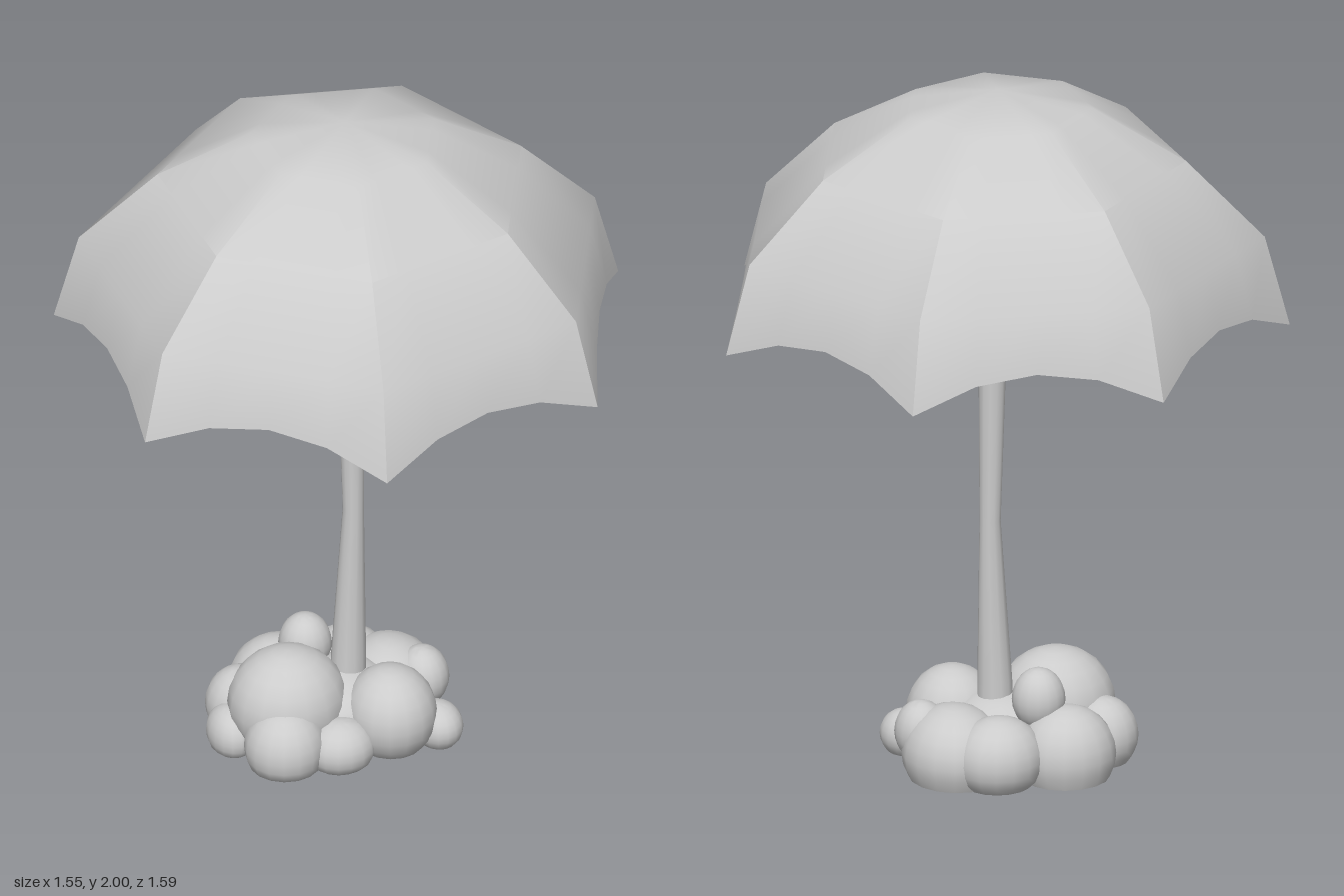
import * as THREE from 'three';
import { toCreasedNormals } from 'three/addons/utils/BufferGeometryUtils.js';

const AXIS_X = -0.04; // the pole axis sits slightly off centre
const RIBS = 7;

// Surface from rows of points, rows running upwards and columns to the right
function gridSurface(rows) {
  const cols = rows[0].length;
  const index = [];
  for (let i = 0; i < rows.length - 1; i++) {
    for (let j = 0; j < cols - 1; j++) {
      const a = i * cols + j, b = a + 1, c = a + cols, d = c + 1;
      index.push(a, b, d, a, d, c);
    }
  }
  const geometry = new THREE.BufferGeometry().setFromPoints(rows.flat());
  geometry.setIndex(index);
  return geometry;
}

// Canopy: flat-chorded panels between ribs, with a scalloped lower edge
function canopyGeometry() {
  const profile = [[0.815, 1.32], [0.745, 1.58], [0.525, 1.8], [0.265, 1.95], [0.0005, 2]];
  const steps = 4;
  const rows = profile.map(([r, y], row) => {
    const points = [];
    for (let k = 0; k <= RIBS * steps; k++) {
      const rib = Math.floor(k / steps), t = (k % steps) / steps;
      const a0 = -(rib * Math.PI * 2) / RIBS, a1 = a0 - (Math.PI * 2) / RIBS;
      const lift = row === 0 ? 0.38 * t * (1 - t) : 0;
      const radius = r - lift * 0.27;
      points.push(new THREE.Vector3(
        radius * THREE.MathUtils.lerp(Math.cos(a0), Math.cos(a1), t),
        y + lift,
        radius * THREE.MathUtils.lerp(Math.sin(a0), Math.sin(a1), t)
      ));
    }
    return points;
  });
  return toCreasedNormals(gridSurface(rows), 0.57);
}

// Pole: rings of varying radius along a slightly bent axis
function poleGeometry() {
  const rings = [[0, -0.035, 0.055], [0.25, -0.03, 0.049], [0.72, -0.016, 0.03],
    [1.4, -0.026, 0.043], [1.97, -0.036, 0.048]];
  const sides = 12;
  const rows = rings.map(([y, x, r]) => Array.from({ length: sides + 1 }, (_, j) => {
    const a = -(j * Math.PI * 2) / sides;
    return new THREE.Vector3(x + r * Math.cos(a), y, r * Math.sin(a));
  }));
  return toCreasedNormals(gridSurface(rows), 0.7);
}

// Boulder: squashed sphere flattened where it meets the ground
function boulderGeometry(x, y, z, rx, ry, rz) {
  const geometry = new THREE.SphereGeometry(1, 16, 12);
  geometry.scale(rx, ry, rz).translate(x, y, z);
  const p = geometry.attributes.position;
  for (let i = 0; i < p.count; i++) p.setY(i, Math.max(0, p.getY(i)));
  return toCreasedNormals(geometry, 0.75);
}

export function createModel() {
  const model = new THREE.Group();
  model.name = 'parasol';
  const material = new THREE.MeshStandardMaterial({ color: 0xcccccc });
  const thin = new THREE.MeshStandardMaterial({ color: 0xcccccc, side: THREE.DoubleSide });

  const add = (parent, name, geometry, mat) => {
    const mesh = new THREE.Mesh(geometry, mat);
    mesh.name = name;
    parent.add(mesh);
    return mesh;
  };

  add(model, 'canopy', canopyGeometry(), thin).position.x = AXIS_X;
  add(model, 'pole', poleGeometry(), thin);

  // Base: cluster of rounded boulders, each as centre x, y, z and radii x, y, z
  const base = new THREE.Group();
  base.name = 'base';
  const boulders = [
    [-0.22, 0.14, 0.02, 0.17, 0.165, 0.16],
    [0.045, 0.11, 0.13, 0.13, 0.14, 0.135],
    [0.12, 0.07, -0.07, 0.145, 0.14, 0.16],
    [-0.17, 0.07, -0.19, 0.14, 0.14, 0.13],
    [-0.11, 0.22, -0.13, 0.075, 0.09, 0.075],
    [0.03, 0.08, -0.18, 0.13, 0.12, 0.12],
    [-0.27, 0.07, 0.13, 0.115, 0.12, 0.115],
    [-0.12, 0.055, 0.17, 0.1, 0.085, 0.09],
    [-0.375, 0.05, -0.02, 0.065, 0.08, 0.09],
    [-0.31, 0.08, -0.11, 0.1, 0.11, 0.1],
    [0.175, 0.055, 0.16, 0.07, 0.07, 0.08],
    [0.19, 0.12, 0.0, 0.075, 0.09, 0.08],
    [-0.05, 0.08, 0, 0.17, 0.13, 0.18],
  ];
  boulders.forEach((b, i) => add(base, `boulder${i + 1}`, boulderGeometry(...b), material));
  model.add(base);

  return model;
}
